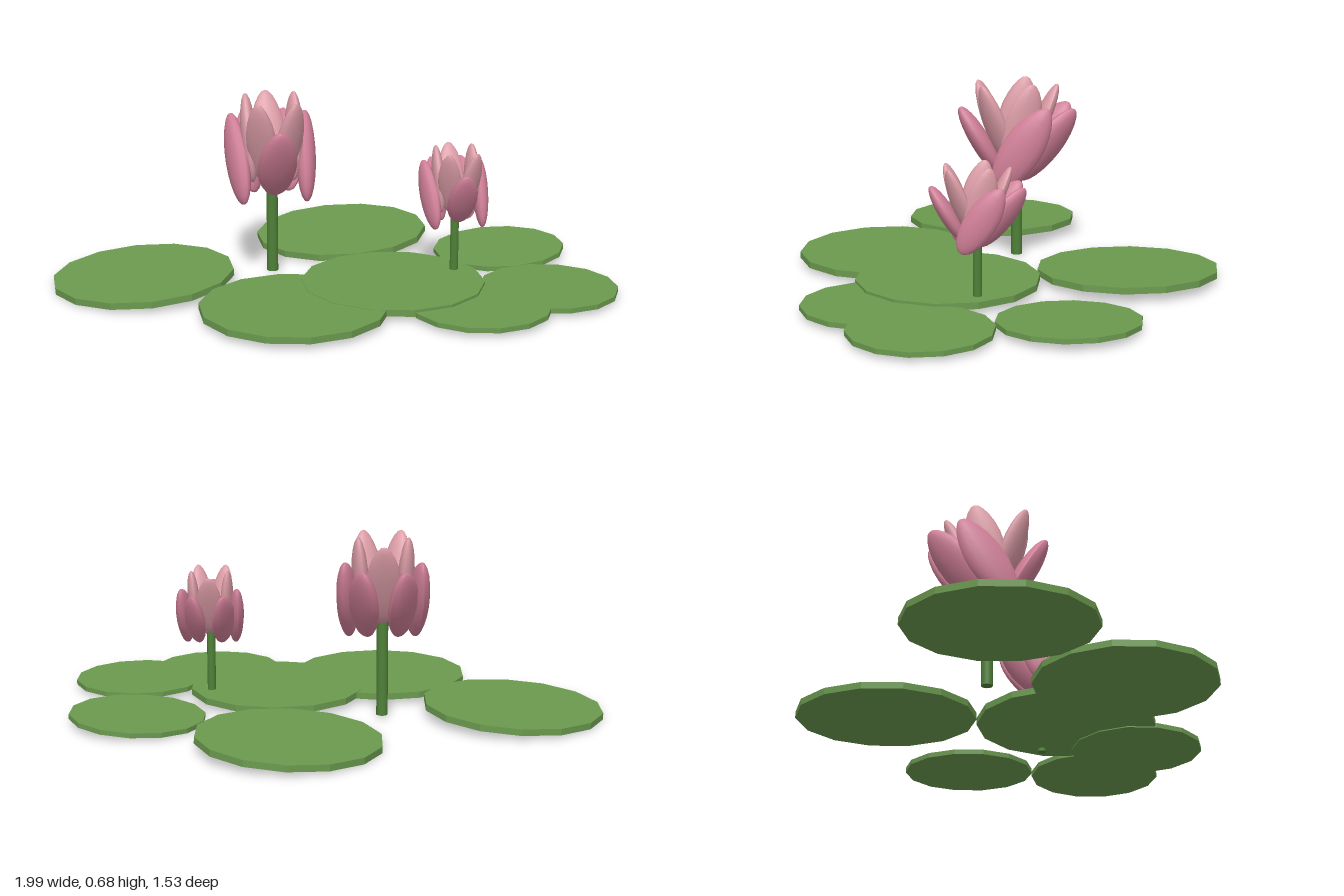
import * as THREE from 'three';

const material = (color, extra = {}) => {
  const m = new THREE.MeshStandardMaterial({ color });
  return Object.assign(m, extra);
};
const padMat = material(0x6b9a4f, { flatShading: true });
const stemMat = material(0x4f8038);
const outerMat = material(0xd07f98);
const innerMat = material(0xdb9ca6);
const heartMat = material(0xd4b040);

function add(parent, name, geometry, mat) {
  const mesh = new THREE.Mesh(geometry, mat);
  mesh.name = name;
  parent.add(mesh);
  return mesh;
}

// Plump petal from base to tip, its flat face turned towards "out"
function petal(parent, name, mat, base, tip, out, width, thick) {
  const geo = new THREE.SphereGeometry(1, 14, 12);
  const p = geo.attributes.position;
  for (let i = 0; i < p.count; i++) {
    const y = p.getY(i);
    const taper = y > 0 ? 1 - 0.22 * y * y : 1;
    p.setX(i, p.getX(i) * taper);
  }
  const a = new THREE.Vector3(...base);
  const b = new THREE.Vector3(...tip);
  const up = b.clone().sub(a);
  const length = up.length();
  up.normalize();
  const z = new THREE.Vector3(...out).addScaledVector(up, -new THREE.Vector3(...out).dot(up)).normalize();
  const x = new THREE.Vector3().crossVectors(up, z);
  geo.scale(width / 2, length / 2, thick / 2);
  geo.applyMatrix4(new THREE.Matrix4().makeBasis(x, up, z));
  geo.translate(...a.add(b).multiplyScalar(0.5).toArray());
  geo.computeVertexNormals();
  add(parent, name, geo, mat);
}

// Flower on its stem, centred on its own axis
function flower(name) {
  const g = new THREE.Group();
  g.name = name;
  const stem = add(g, 'stem', new THREE.CylinderGeometry(0.021, 0.021, 0.42, 12), stemMat);
  stem.position.y = 0.22;
  const heart = add(g, 'flowerHeart', new THREE.SphereGeometry(1, 14, 10), heartMat);
  heart.scale.set(0.034, 0.06, 0.047);
  heart.position.set(0, 0.46, -0.005);

  // Single petals at front and back
  petal(g, 'frontOuterPetal', outerMat, [0, 0.32, 0.06], [0, 0.585, 0.215], [0, 0, 1], 0.145, 0.075);
  petal(g, 'backInnerPetal', innerMat, [0, 0.36, -0.02], [0, 0.665, -0.155], [0, 0, -1], 0.13, 0.06);

  // Mirrored pairs
  for (const s of [1, -1]) {
    petal(g, 'sideOuterPetal', outerMat, [s * 0.115, 0.295, 0.09], [s * 0.14, 0.595, -0.1], [s, 0, 0.25], 0.15, 0.075);
    petal(g, 'backOuterPetal', outerMat, [s * 0.07, 0.315, 0.0], [s * 0.07, 0.58, -0.21], [s * 0.7, 0, -0.7], 0.15, 0.075);
    petal(g, 'frontInnerPetal', innerMat, [s * 0.03, 0.36, 0.03], [s * 0.07, 0.675, 0.14], [s * 0.5, 0, 0.85], 0.12, 0.06);
    petal(g, 'sideInnerPetal', innerMat, [s * 0.075, 0.36, 0.03], [s * 0.09, 0.68, -0.05], [s, 0, -0.15], 0.14, 0.06);
  }
  return g;
}

export function createModel() {
  const model = new THREE.Group();
  model.name = 'waterLilies';

  // Lily pads: x, y, z, scale, tilt
  const tilt = THREE.MathUtils.degToRad(3);
  const pads = [
    [-0.668, 0.03, -0.03, 1, tilt],
    [0.15, 0.03, -0.435, 1, tilt],
    [0.71, 0.0225, -0.13, 0.75, tilt],
    [0.21, 0.033, 0.23, 1, 0],
    [-0.185, 0.0315, 0.42, 1, 0],
    [0.46, 0.026, 0.513, 0.75, 0],
    [0.752, 0.026, 0.37, 0.75, 0],
  ];
  for (const [x, y, z, scale, lean] of pads) {
    const pad = add(model, 'lilyPad', new THREE.CylinderGeometry(0.333, 0.333, 0.024, 14), padMat);
    pad.position.set(x, y, z);
    pad.scale.setScalar(scale);
    pad.rotation.z = lean;
  }

  // Large and small flower
  const large = flower('largeFlower');
  large.position.set(-0.183, 0, -0.068);
  const small = flower('smallFlower');
  small.scale.setScalar(0.75);
  small.position.set(0.458, 0, 0.15);
  model.add(large, small);
  return model;
}
